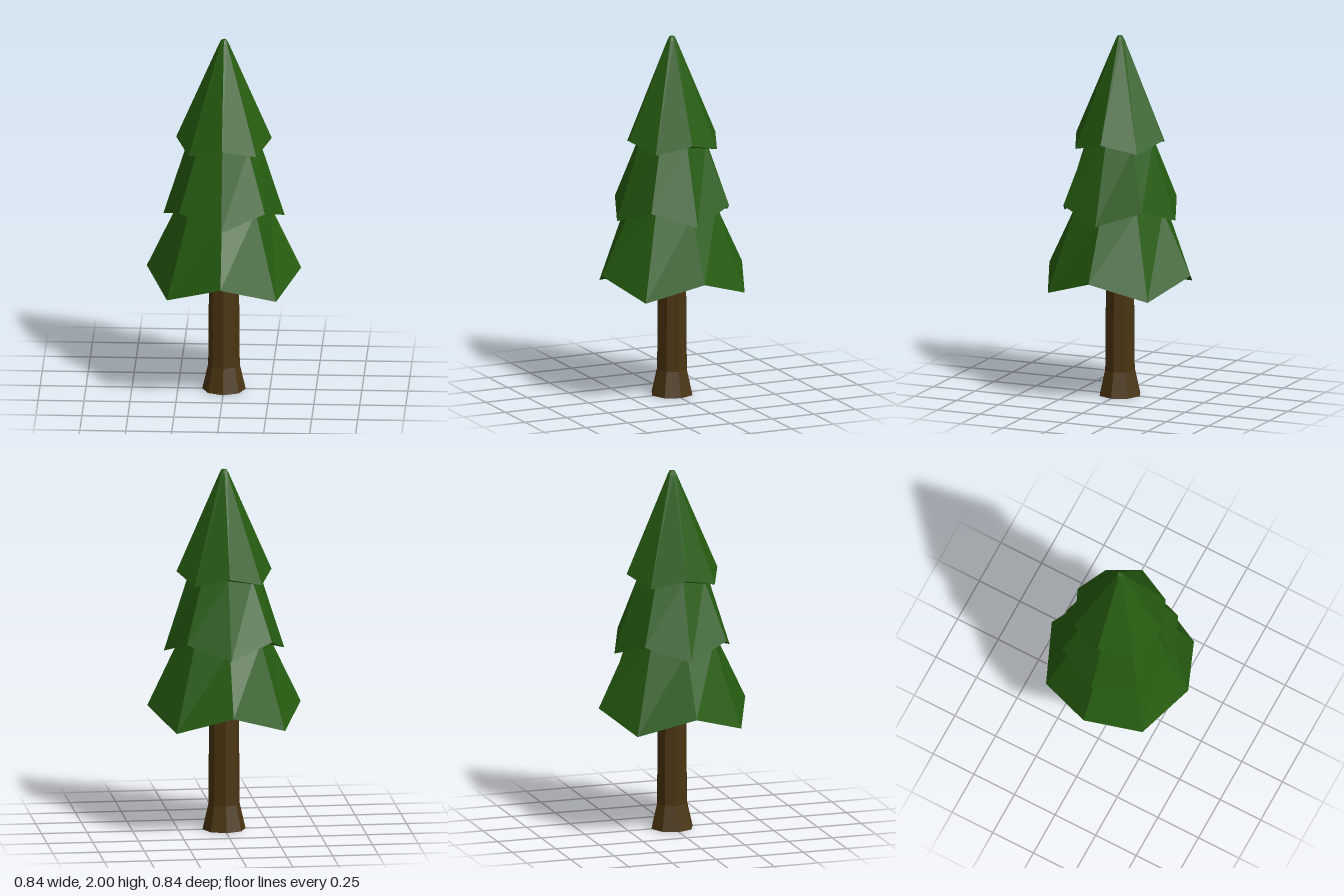
import * as THREE from 'three';

const SIDES = 8;

// Skin between octagonal rings, listed bottom to top.
// Each ring is [radius, height of the even corners, height of the odd corners].
function ringSkin(rings, material, name) {
  const positions = [];
  const corner = ([r, even, odd = even], i) => {
    const a = (i / SIDES) * Math.PI * 2;
    return [r * Math.cos(a), i % 2 ? odd : even, -r * Math.sin(a)];
  };
  for (let k = 0; k < rings.length - 1; k++) {
    for (let i = 0; i < SIDES; i++) {
      const a = corner(rings[k], i), b = corner(rings[k], i + 1);
      const c = corner(rings[k + 1], i + 1), d = corner(rings[k + 1], i);
      if (rings[k][0] > 0) positions.push(...a, ...b, ...c);
      if (rings[k + 1][0] > 0) positions.push(...a, ...c, ...d);
    }
  }
  const geometry = new THREE.BufferGeometry();
  geometry.setAttribute('position', new THREE.Float32BufferAttribute(positions, 3));
  geometry.computeVertexNormals(); // unshared corners give flat facets
  const mesh = new THREE.Mesh(geometry, material);
  mesh.name = name;
  return mesh;
}

export function createModel() {
  const needleGreen = new THREE.MeshStandardMaterial({ name: 'needle green', color: 0x265c10 });
  const barkBrown = new THREE.MeshStandardMaterial({ name: 'bark brown', color: 0x4a3511 });
  const tree = new THREE.Group();
  tree.name = 'pineTree';

  // Trunk with a flared foot and closed base
  tree.add(ringSkin([[0, 0], [0.118, 0], [0.086, 0.14], [0.081, 0.7]], barkBrown, 'trunk'));

  // Tiers: underside, zigzag rim, slope up to the next tier
  const lowerJoin = [0.255, 1.045, 1.07];
  const upperJoin = [0.195, 1.42, 1.41];
  tree.add(ringSkin([[0.078, 0.69], [0.42, 0.7, 0.6], lowerJoin], needleGreen, 'lowerBranches'));
  tree.add(ringSkin([lowerJoin, [0.33, 1.0, 1.08], upperJoin], needleGreen, 'middleBranches'));
  tree.add(ringSkin(
    [upperJoin, [0.26, 1.44, 1.39], [0.026, 1.978], [0.014, 2], [0, 2]],
    needleGreen, 'upperBranches'));
  return tree;
}
